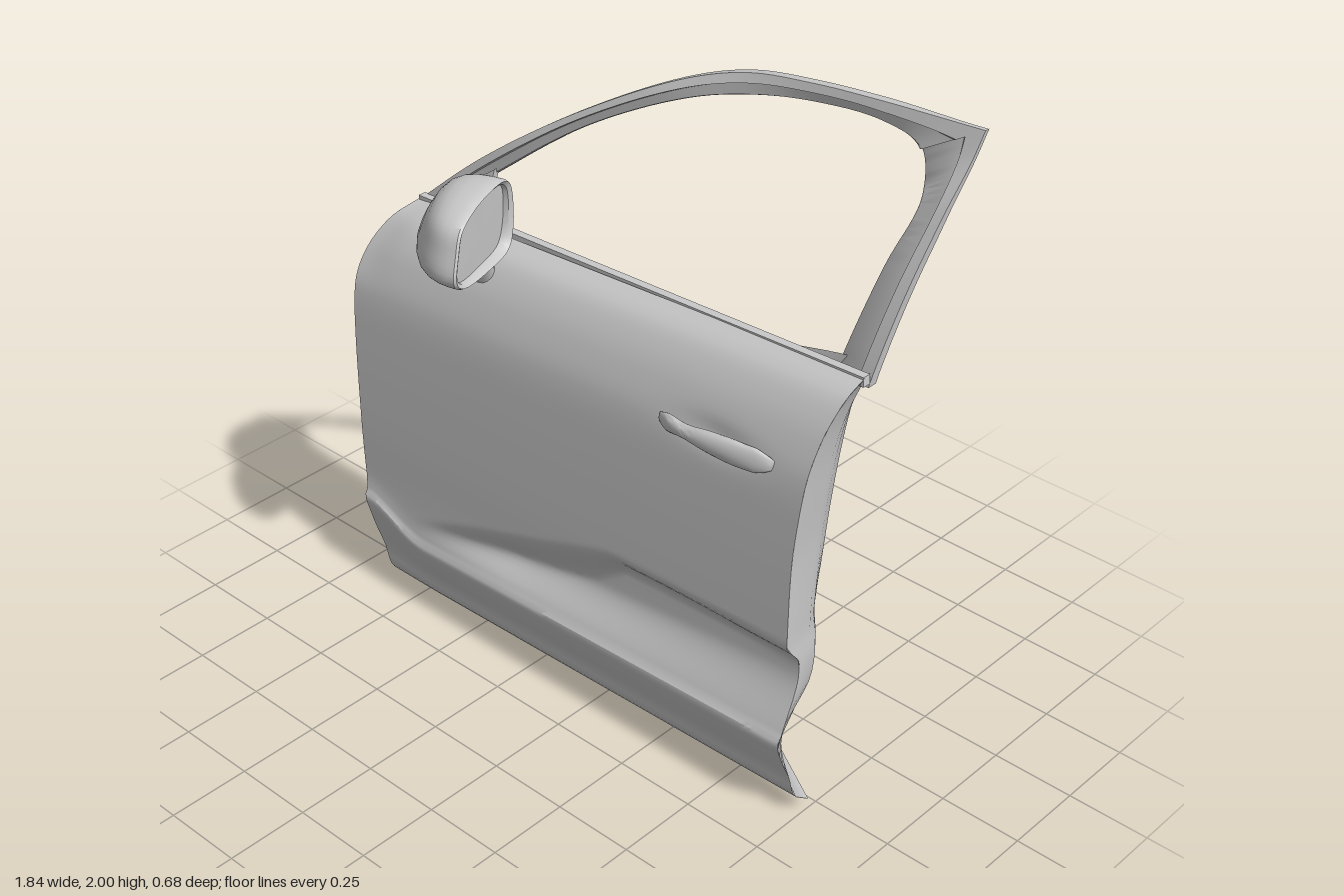
import * as THREE from 'three';
import { toCreasedNormals } from 'three/addons/utils/BufferGeometryUtils.js';

const { lerp, smoothstep } = THREE.MathUtils;
const V = (x, y, z = 0) => new THREE.Vector3(x, y, z);
const material = new THREE.MeshStandardMaterial({ color: 0xcccccc, side: THREE.DoubleSide });

// smooth step that also works downwards
const ramp = (x, a, b) => (a < b ? smoothstep(x, a, b) : 1 - smoothstep(x, b, a));

// smooth interpolation through [x, value] pairs
function at(pts, x) {
  const n = pts.length - 1;
  let i = 0;
  while (i < n - 1 && x > pts[i + 1][0]) i++;
  const slope = k => {
    const a = pts[Math.max(k - 1, 0)], b = pts[Math.min(k + 1, n)];
    return (b[1] - a[1]) / (b[0] - a[0]);
  };
  const h = pts[i + 1][0] - pts[i][0];
  const t = THREE.MathUtils.clamp((x - pts[i][0]) / h, 0, 1), t2 = t * t, t3 = t2 * t;
  return (2 * t3 - 3 * t2 + 1) * pts[i][1] + (t3 - 2 * t2 + t) * h * slope(i)
    + (3 * t2 - 2 * t3) * pts[i + 1][1] + (t3 - t2) * h * slope(i + 1);
}

function mesh(name, geometry) {
  const m = new THREE.Mesh(geometry, material);
  m.name = name;
  return m;
}

// surface from a rule (u, v) -> point
function sheet(name, f, nu, nv, crease = 0.5) {
  const g = new THREE.PlaneGeometry(1, 1, nu, nv);
  const p = g.attributes.position, uv = g.attributes.uv;
  for (let i = 0; i < p.count; i++) {
    const q = f(uv.getX(i), uv.getY(i));
    p.setXYZ(i, q.x, q.y, q.z);
  }
  return mesh(name, toCreasedNormals(g, crease));
}

const spline = pts => new THREE.CatmullRomCurve3(pts.map(p => V(...p)), false, 'centripetal');

// outer skin: end edges, vertical profile, and the scoop's shoulder and valley
const frontEdge = [[0, -0.87], [0.1, -0.895], [0.25, -0.91], [0.6, -0.92], [1.08, -0.925], [1.17, -0.91], [1.25, -0.87], [1.3, -0.82]];
const rearEdge = [[0, 0.75], [0.12, 0.73], [0.55, 0.735], [0.8, 0.737], [0.95, 0.75], [1.15, 0.775], [1.3, 0.81]];
const profile = [[0, 0.035], [0.035, 0.085], [0.1, 0.1], [0.17, 0.132], [0.24, 0.156], [0.255, 0.146], [0.35, 0.14], [0.6, 0.142],
  [0.9, 0.138], [1.05, 0.128], [1.15, 0.1], [1.22, 0.067], [1.27, 0.028], [1.3, -0.025]];
const scoopShoulder = [[-0.75, 0.32], [-0.5, 0.41], [-0.2, 0.51], [0, 0.58], [0.12, 0.605], [0.75, 0.615]];
const scoopValley = [[-0.75, 0.28], [-0.5, 0.31], [-0.2, 0.355], [0, 0.42], [0.07, 0.47], [0.13, 0.51], [0.75, 0.52]];

function skin(u, v) {
  const Y = 1.3 * v;
  const x = lerp(at(frontEdge, Y), at(rearEdge, Y), u);
  // belt and sill climb to the rear; the sill line also rises at the front end
  const y = Y + (x + 0.87) / 1.65 * lerp(0.035, 0.09, v)
    + 0.09 * ramp(x, -0.66, -0.93) * Math.exp(-(((Y - 0.25) / 0.13) ** 2));
  let z = at(profile, Y);
  const ledge = 0.36 + 0.1 * x;
  z -= 0.058 * ramp(y, at(scoopShoulder, x), at(scoopValley, x)) * ramp(y, 0.27, ledge + 0.06) * ramp(x, -0.75, -0.25);
  // cup behind the handle
  z -= 0.012 * Math.exp(-(((x - 0.46) / 0.12) ** 2) - ((y - 1.13) / 0.04) ** 2);
  z -= 0.025 * ramp(u, 0.08, 0) * ramp(v, 0.8, 1);
  return V(x, y, z);
}

// inner shell: U-shaped flange from the skin's edge to the opening's rim
const opening = spline([[-0.74, 1.29], [-0.71, 1], [-0.68, 0.7], [-0.66, 0.42], [-0.57, 0.31], [-0.05, 0.3],
  [0.4, 0.33], [0.56, 0.45], [0.63, 0.7], [0.68, 1.05], [0.73, 1.38]]);
// per ring: inset and depth on the sides, inset and depth along the bottom
const rings = [[0, 0, 0, 0], [0.1, 0.45, 0.55, 0.2], [0.28, 0.62, 0.69, 0.4], [0.6, 0.84, 0.78, 0.72], [0.93, 0.92, 0.95, 0.79], [1, 1, 1, 1]];
function flange(s, k) {
  const e = s < 0.4 ? skin(0, 1 - s / 0.4) : s < 0.6 ? skin((s - 0.4) / 0.2, 0) : skin(1, (s - 0.6) / 0.4);
  const low = ramp(s, 0.28, 0.4) * ramp(s, 0.72, 0.6);
  const [sideIn, sideZ, lowIn, lowZ] = rings[Math.round(k * 5)];
  const p = e.clone().lerp(opening.getPoint(s), lerp(sideIn, lowIn, low));
  p.z = lerp(e.z, lerp(-0.1, -0.12, low), lerp(sideZ, lowZ, low));
  return p;
}

// shallow dished panel closing the opening
function panel(u, v) {
  const p = opening.getPoint(0.5 * (1 - v)).lerp(opening.getPoint(0.5 + 0.5 * v), u);
  const low = ramp(p.y, 0.75, 0.35);
  const inside = ramp(u, 0, 0.13) * ramp(u, 1, 0.83) * ramp(p.y, 0.29, 0.47);
  p.z = lerp(lerp(-0.1, -0.12, low), lerp(-0.06, -0.045, ramp(p.y - 0.05 * p.x, 1.2, 1.34)), inside);
  return p;
}

// window frame: rail and rear pillar, leaning inwards with height
const lean = [[1.28, -0.035], [1.4, -0.055], [1.6, -0.115], [1.8, -0.2], [1.92, -0.265], [2, -0.295]];
const railOuter = spline([[-0.84, 1.285], [-0.6, 1.49], [-0.3, 1.7], [0, 1.865], [0.2, 1.935], [0.4, 1.965], [0.6, 1.982], [0.915, 2]]);
const pillarOuter = spline([[0.915, 2], [0.89, 1.85], [0.85, 1.62], [0.805, 1.35]]);
const frameInner = spline([[-0.76, 1.285], [-0.56, 1.45], [-0.28, 1.66], [0.01, 1.81], [0.2, 1.87], [0.4, 1.907], [0.61, 1.92],
  [0.735, 1.893], [0.779, 1.8], [0.735, 1.62], [0.672, 1.35]]);
const railSection = [[0, 0], [0.4, -0.002], [0.46, -0.018], [0.95, -0.036], [1, -0.045], [1, -0.06], [0.45, -0.064], [0, -0.025], [0, 0]];
const pillarSection = [[0, 0], [0.28, -0.002], [0.34, -0.03], [0.95, -0.05], [1, -0.056], [1, -0.07], [0.4, -0.075], [0, -0.03], [0, 0]];
const frame = (outer, from, to, section) => (u, v) => {
  const [w, dz] = section[Math.round(v * 8)];
  const p = outer.getPoint(u).lerp(frameInner.getPoint(lerp(from, to, u)), w);
  // thinner towards the rear corner and the front tip
  const thick = 1 - 0.5 * ramp(p.x, 0.6, 0.9) * ramp(p.y, 1.7, 1.98) - 0.5 * ramp(p.x, -0.5, -0.84);
  p.z = at(lean, p.y) + dz * thick - 0.025 * ramp(p.x, -0.4, -0.84);
  return p;
};

// mirror housing: rounded rim swept into a dome, with a recessed glass
const rim = new THREE.CatmullRomCurve3([[0, 1.39], [0.005, 1.52], [0.04, 1.55], [0.13, 1.557], [0.23, 1.542], [0.295, 1.51],
  [0.32, 1.45], [0.335, 1.375], [0.3, 1.342], [0.15, 1.325], [0.03, 1.335]].map(p => V(...p)), true, 'centripetal');
const dome = [[0, 0.02], [0.88, 0.02], [0.9, 0.005], [0.97, -0.005], [1, 0.008], [1, 0.05], [0.98, 0.1],
  [0.92, 0.145], [0.8, 0.18], [0.6, 0.2], [0.32, 0.21], [0, 0.213]];
function mirror(u, v) {
  const [s, d] = dome[Math.round(v * 11)];
  const r = rim.getPoint(u % 1);
  const a = lerp(0.14, r.x, s), y = lerp(1.43, r.y, s);
  const depth = d * (1.1 - 5.4 * a * a) * (1 - 2.2 * (y - 1.43));
  return V(-0.387 + a * 0.32 - depth * 0.95, y, 0.008 + a * 0.95 + depth * 0.25);
}

// pull handle: bowed bar, heavier towards the rear
function handle(u, v) {
  const a = v * Math.PI * 2, end = Math.sqrt(Math.max(0, Math.sin(Math.PI * u)));
  const hy = (0.028 + 0.01 * ramp(u, 0.35, 0.75) - 0.008 * Math.exp(-(((u - 0.3) / 0.12) ** 2))) * Math.min(1, end * 1.6);
  const y = 1.115 + 0.02 * u + 0.012 * Math.sin(Math.PI * u);
  return V(0.26 + 0.4 * u, y + hy * Math.cos(a), 0.115 + 0.044 * end + 0.02 * end * Math.sin(a));
}

export function createModel() {
  const door = new THREE.Group();
  door.name = 'carDoor';
  door.add(sheet('outerSkin', skin, 72, 90));
  door.add(sheet('innerFlange', flange, 100, 5, 1.2));
  door.add(sheet('innerPanel', panel, 48, 60, 0.6));
  door.add(sheet('windowRail', frame(railOuter, 0, 0.7, railSection), 56, 8));
  door.add(sheet('rearPillar', frame(pillarOuter, 0.7, 1, pillarSection), 24, 8));

  // weather strip along the belt line
  const a = V(-0.82, 1.298, -0.055), b = V(0.81, 1.38, -0.03);
  const strip = mesh('beltStrip', new THREE.BoxGeometry(b.distanceTo(a), 0.028, 0.025));
  strip.position.copy(a).add(b).multiplyScalar(0.5);
  strip.quaternion.setFromUnitVectors(V(1, 0, 0), b.clone().sub(a).normalize());
  door.add(strip);

  // triangular filler at the front of the window
  const tri = new THREE.Shape([[-0.8, 1.29], [-0.585, 1.305], [-0.565, 1.46]].map(p => new THREE.Vector2(...p)));
  const sail = new THREE.ExtrudeGeometry(tri, { depth: 0.02, bevelEnabled: false });
  const sp = sail.attributes.position;
  for (let i = 0; i < sp.count; i++) sp.setZ(i, sp.getZ(i) + at(lean, sp.getY(i)) - 0.05);
  sail.computeVertexNormals();
  door.add(mesh('mirrorSail', sail));

  // door mirror on its foot
  const mirrorGroup = new THREE.Group();
  mirrorGroup.name = 'doorMirror';
  mirrorGroup.add(sheet('mirrorHousing', mirror, 48, 11, 0.6));
  const foot = mesh('mirrorFoot', new THREE.CylinderGeometry(0.085, 0.06, 0.12, 24));
  foot.scale.z = 0.5;
  foot.position.set(-0.475, 1.285, 0.075);
  foot.rotation.x = 0.3;
  mirrorGroup.add(foot);
  door.add(mirrorGroup);

  door.add(sheet('pullHandle', handle, 32, 16, 0.9));
  return door;
}
